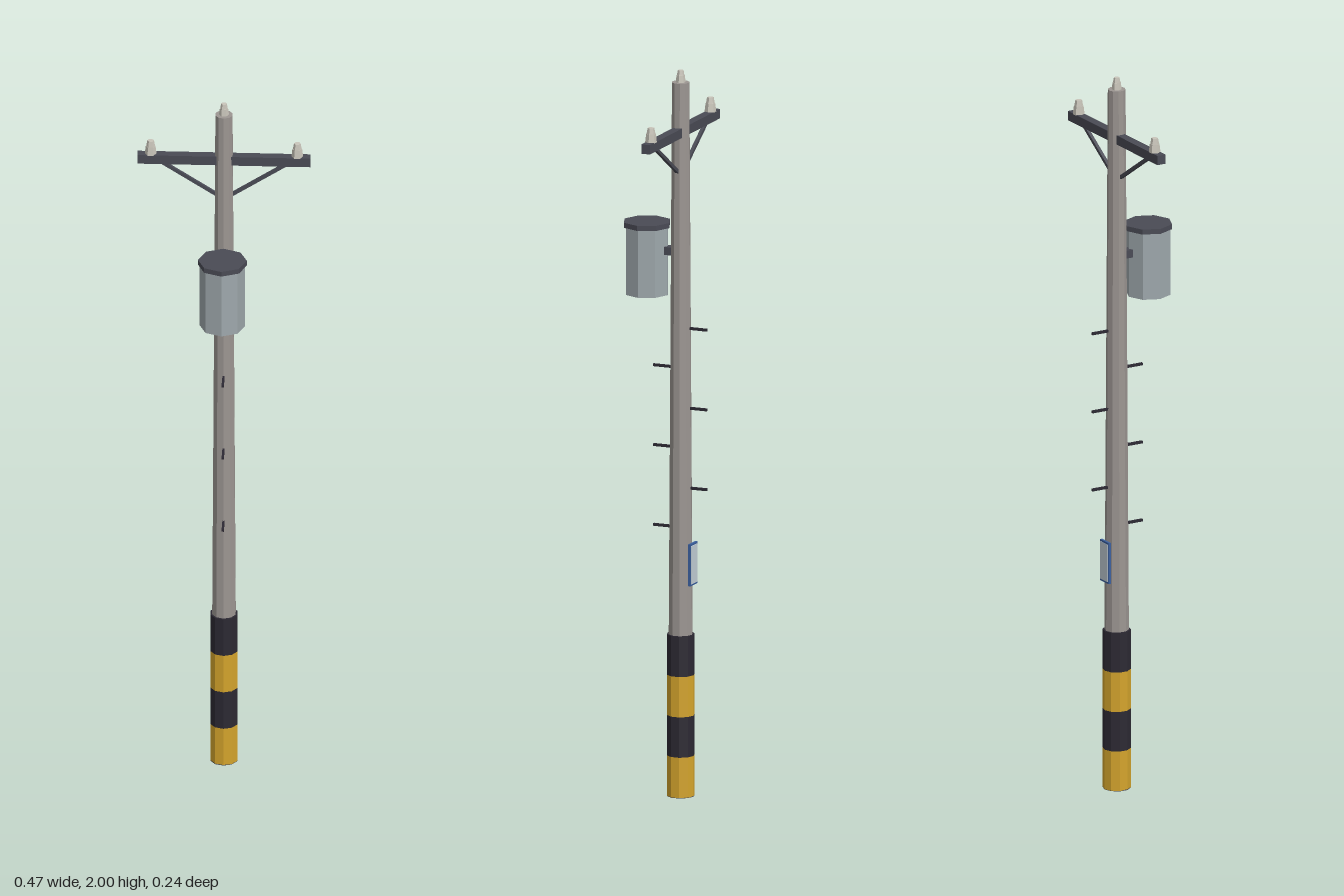
import * as THREE from 'three';

const AXIS_Z = -0.044; // centre line of the pole

const paint = (color) => new THREE.MeshStandardMaterial({ color, flatShading: true });

export function createModel() {
  const root = new THREE.Group();
  root.name = 'utilityPole';

  const concrete = paint(0x9c9692);
  const dark = paint(0x4a4b55);
  const black = paint(0x2c2933);
  const yellow = paint(0xd4a42c);
  const steel = paint(0x9ea8ac);
  const ceramic = paint(0xc9c5ba);
  const blue = paint(0x3a5f9e);
  const white = paint(0xc4d0d8);

  const add = (name, geometry, material, x, y, z, parent = root) => {
    const mesh = new THREE.Mesh(geometry, material);
    mesh.name = name;
    mesh.position.set(x, y, z);
    parent.add(mesh);
    return mesh;
  };
  const box = (w, h, d) => new THREE.BoxGeometry(w, h, d);
  const tube = (top, bottom, h, sides) => new THREE.CylinderGeometry(top, bottom, h, sides);
  // Radius of the tapering shaft at a given height
  const shaftRadius = (y) => THREE.MathUtils.lerp(0.036, 0.024, y / 1.967);

  // Tapered ten-sided shaft
  add('shaft', tube(0.024, 0.0355, 1.965, 10), concrete, 0, 0.9845, AXIS_Z);

  // Warning bands around the base, with a dark underside
  const band = 0.445 / 4;
  for (let i = 0; i < 4; i++) {
    add('warningBand', tube(0.038, 0.038, band, 10), i % 2 ? black : yellow, 0, band * (i + 0.5) + 0.001, AXIS_Z);
  }
  add('foot', tube(0.038, 0.038, 0.002, 10), dark, 0, 0.001, AXIS_Z);

  // Crossarm and its two diagonal braces
  add('crossarm', box(0.465, 0.026, 0.025), dark, 0, 1.831, AXIS_Z);
  for (const side of [-1, 1]) {
    const a = new THREE.Vector3(side * 0.015, 1.72, AXIS_Z);
    const b = new THREE.Vector3(side * 0.175, 1.824, AXIS_Z);
    const brace = add('brace', box(a.distanceTo(b), 0.009, 0.009), dark, 0, 0, 0);
    brace.position.copy(a).lerp(b, 0.5);
    brace.rotation.z = Math.atan2(b.y - a.y, b.x - a.x);
  }

  // Hexagonal stepped insulators on the arm ends and the pole top
  const addInsulator = (x, y, s) => {
    const group = new THREE.Group();
    group.name = 'insulator';
    group.position.set(x, y, AXIS_Z);
    group.rotation.y = Math.PI / 6;
    group.scale.setScalar(s);
    add('insulatorSkirt', tube(0.013, 0.016, 0.024, 6), ceramic, 0, 0.012, 0, group);
    add('insulatorCap', tube(0.009, 0.012, 0.016, 6), ceramic, 0, 0.032, 0, group);
    root.add(group);
  };
  addInsulator(-0.197, 1.843, 1);
  addInsulator(0.197, 1.843, 1);
  addInsulator(0, 1.966, 0.85);

  // Eight-sided transformer can, lid and mounting bracket
  add('transformerBody', tube(0.061, 0.061, 0.187, 8), steel, 0, 1.469, 0.055);
  add('transformerLid', tube(0.066, 0.066, 0.014, 8), dark, 0, 1.568, 0.055);
  add('transformerBracket', box(0.026, 0.022, 0.05), dark, 0, 1.5, -0.012);

  // Climbing pegs, alternating front and back
  for (let i = 0; i < 6; i++) {
    const y = 0.74 + i * 0.11;
    const dir = i % 2 ? -1 : 1;
    const start = AXIS_Z + dir * (shaftRadius(y) - 0.01);
    const end = dir > 0 ? 0.036 : -0.121;
    add('climbingPeg', box(0.006, 0.007, Math.abs(end - start)), black, 0, y, (start + end) / 2);
  }

  // Framed notice plate on the back
  add('signFrame', box(0.045, 0.115, 0.007), blue, 0, 0.642, -0.0795);
  add('signPlate', box(0.037, 0.105, 0.003), white, 0, 0.642, -0.083);

  return root;
}
